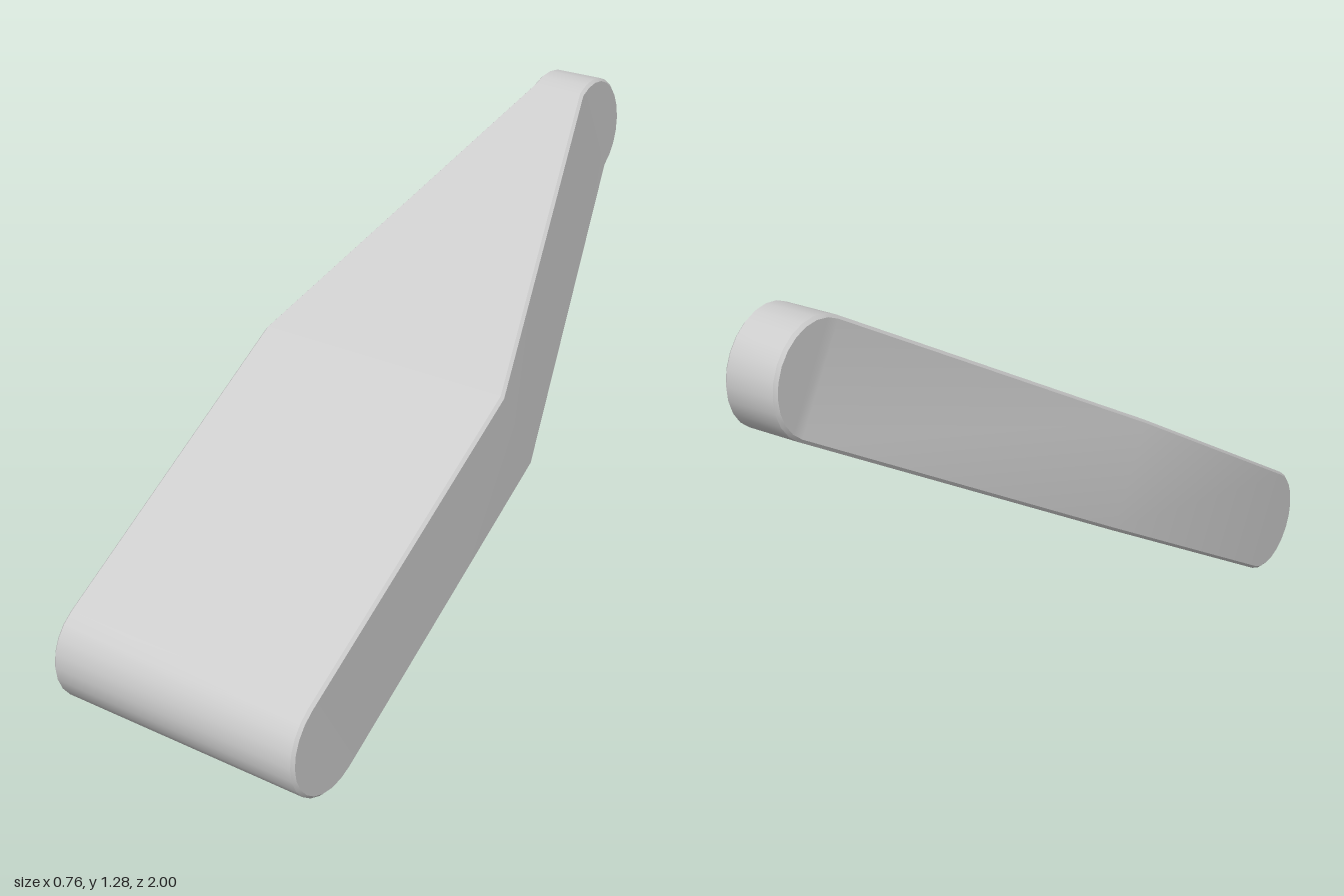
import * as THREE from 'three';
import { toCreasedNormals } from 'three/addons/utils/BufferGeometryUtils.js';

const R = 0.15;      // half thickness, also the radius of the rounded ends
const C = 0.981;     // distance from the middle to each end's arc centre
const BEVEL = 0.008;
const SHOULDER = -0.03;
const STEPS = 6;

// half width along the slab: straight, then tapered to a narrow rounded tip
function halfWidth(u) {
  if (u <= SHOULDER) return 0.38;
  if (u >= C) return 0.081 - 0.006 * (u - C) / R;
  return THREE.MathUtils.mapLinear(u, SHOULDER, C, 0.38, 0.081);
}

// one bevelled rectangular ring; the side faces use the inset profile
function ring(u, h, uIn, hIn) {
  const f = halfWidth(u), e = f - BEVEL;
  return [
    [f, -hIn, -uIn], [f, hIn, -uIn], [e, h, -u], [-e, h, -u],
    [-f, hIn, -uIn], [-f, -hIn, -uIn], [-e, -h, -u], [e, -h, -u],
  ];
}

function slabGeometry() {
  const rings = [];
  const arc = (centre, a) => {
    const c = Math.cos(a), s = Math.sin(a), r = R - BEVEL;
    rings.push(ring(centre + R * c, R * s, centre + r * c, r * s));
  };
  // lower rounded end, shoulder, tip
  for (let i = 0; i <= STEPS; i++) arc(-C, Math.PI * (1 - 0.5 * i / STEPS));
  rings.push(ring(SHOULDER, R, SHOULDER, R - BEVEL));
  for (let i = 0; i <= STEPS; i++) arc(C, Math.PI * 0.5 * (1 - i / STEPS));

  const index = [];
  for (let i = 0; i < rings.length - 1; i++) {
    for (let j = 0; j < 8; j++) {
      const k = (j + 1) % 8;
      const a = i * 8 + j, b = i * 8 + k, c = b + 8, d = a + 8;
      index.push(a, d, c, a, c, b);
    }
  }
  const geometry = new THREE.BufferGeometry();
  geometry.setAttribute('position', new THREE.Float32BufferAttribute(rings.flat(2), 3));
  geometry.setIndex(index);
  return toCreasedNormals(geometry, 0.6);
}

export function createModel() {
  const grey = new THREE.MeshStandardMaterial({ color: 0xcccccc });
  grey.name = 'light grey';

  const slab = new THREE.Mesh(slabGeometry(), grey);
  slab.name = 'taperedSlab';
  slab.rotation.x = Math.PI / 6; // leans back, tip up
  slab.position.y = 0.64;

  const model = new THREE.Group();
  model.name = 'tiltedWedge';
  model.add(slab);
  return model;
}
